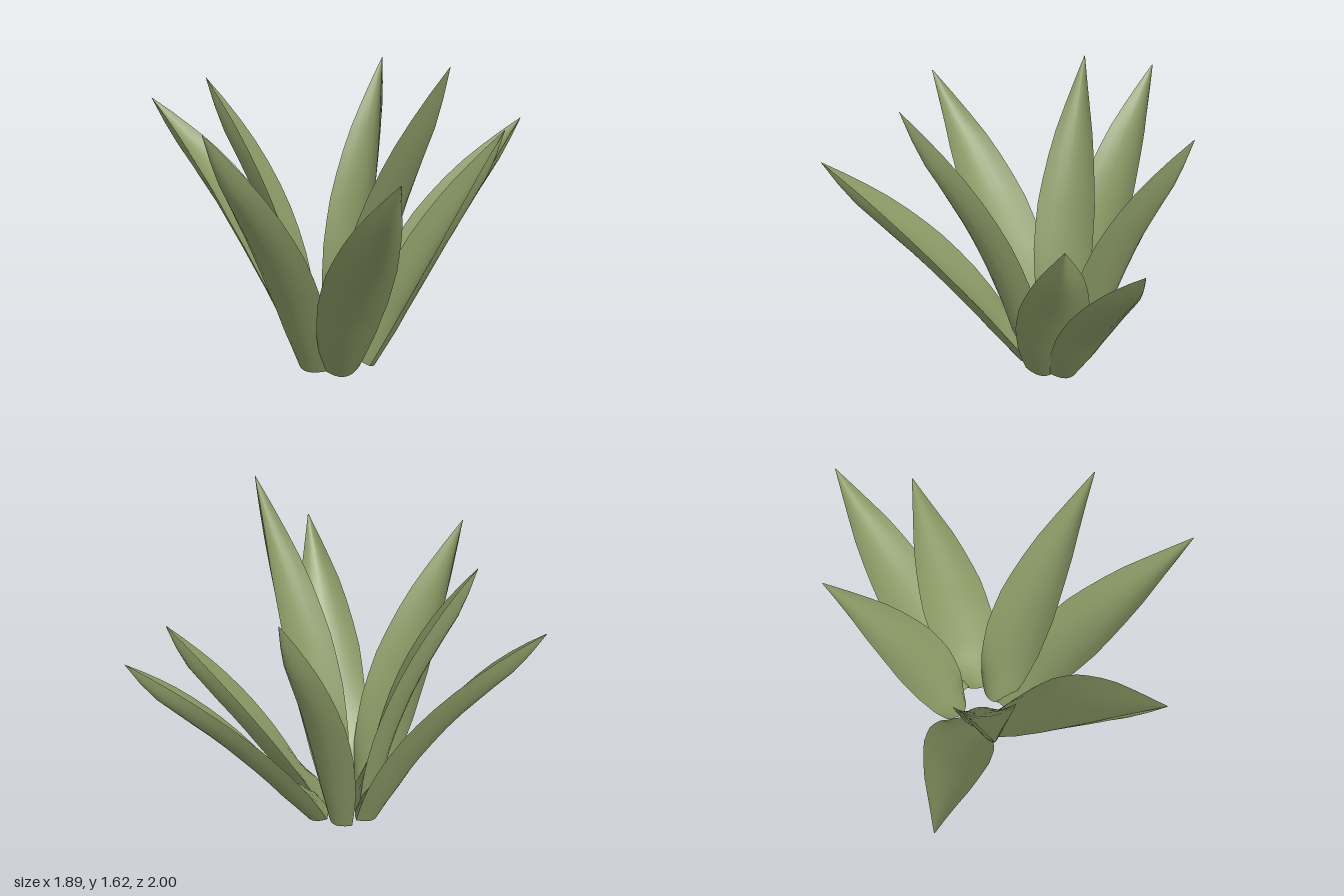
import * as THREE from 'three';
import { mergeGeometries } from 'three/addons/utils/BufferGeometryUtils.js';

const SIDES = 8;   // steps across a leaf
const ROWS = 12;   // steps along a leaf

// Profiles along a leaf, as [position, value]
const HALF_WIDTH = [[0, 0.1], [0.07, 0.13], [0.18, 0.165], [0.35, 0.19], [0.52, 0.182], [0.72, 0.13], [0.86, 0.068], [1, 0.002]];
const KEEL = [[0, 0.06], [0.15, 0.088], [0.4, 0.1], [0.7, 0.098], [0.87, 0.078], [1, 0.001]];
const INNER = [[0, -0.055], [0.08, -0.05], [0.2, 0.01], [0.4, 0.05], [0.65, 0.055], [0.87, 0.04], [1, 0]];

function sample(profile, t) {
  for (let i = 1; i < profile.length; i++) {
    const [t0, a] = profile[i - 1], [t1, b] = profile[i];
    if (t <= t1) return a + (b - a) * (t - t0) / (t1 - t0);
  }
  return profile[profile.length - 1][1];
}

// Smooth sheet through point(u, v), with u and v from 0 to 1
function sheet(point, rows) {
  const positions = [], index = [], n = SIDES + 1;
  for (let j = 0; j <= rows; j++) {
    for (let i = 0; i <= SIDES; i++) positions.push(...point(i / SIDES, j / rows).toArray());
  }
  for (let j = 0; j < rows; j++) {
    for (let i = 0; i < SIDES; i++) {
      const a = j * n + i, b = a + 1, c = b + n, d = a + n;
      index.push(a, b, d, b, c, d);
    }
  }
  const g = new THREE.BufferGeometry();
  g.setAttribute('position', new THREE.Float32BufferAttribute(positions, 3));
  g.setIndex(index);
  g.computeVertexNormals();
  return g;
}

// Curved leaf with a rounded back, a hollow face and a thick foot
function leafGeometry({ base, mid, tip, facing, width }) {
  const p0 = new THREE.Vector3(...base), p2 = new THREE.Vector3(...tip);
  const control = new THREE.Vector3(...mid).multiplyScalar(2).addScaledVector(p0, -0.5).addScaledVector(p2, -0.5);
  const spine = new THREE.QuadraticBezierCurve3(p0, control, p2);
  const across = new THREE.Vector3(facing[1], 0, -facing[0]).normalize();

  const point = (u, t, depth) => {
    const s = u * 2 - 1;
    const along = spine.getTangent(t);
    const side = across.clone().addScaledVector(along, -along.dot(across)).normalize();
    const out = side.clone().cross(along);
    return spine.getPoint(t)
      .addScaledVector(side, s * width * sample(HALF_WIDTH, t))
      .addScaledVector(out, depth * (1 - s * s));
  };
  return mergeGeometries([
    sheet((u, t) => point(u, t, sample(KEEL, t)), ROWS),
    sheet((u, t) => point(1 - u, t, sample(INNER, t)), ROWS),
    sheet((u, v) => point(u, 0, THREE.MathUtils.lerp(INNER[0][1], KEEL[0][1], v)), 1),
  ]);
}

// Foot, middle and tip of each leaf, the ground direction its back faces, and its relative width
const LEAVES = {
  frontLeaf: { base: [-0.02, 0.03, 0.22], mid: [0.03, 0.71, 0.51], tip: [0.09, 1.35, 1.0], facing: [0, 1], width: 1 },
  frontLeftLeaf: { base: [0.11, 0.03, 0.15], mid: [0.46, 0.66, 0.385], tip: [0.94, 1.21, 0.67], facing: [0.8, 0.55], width: 0.92 },
  leftLeaf: { base: [0.1, 0.03, 0.11], mid: [0.33, 0.85, 0.125], tip: [0.78, 1.62, 0.17], facing: [1, 0], width: 0.84 },
  backLeftLeaf: { base: [0.12, 0.03, 0.0], mid: [0.26, 0.61, -0.28], tip: [0.48, 1.17, -0.65], facing: [0.4, -0.75], width: 0.94 },
  backLeaf: { base: [0.04, 0.03, -0.08], mid: [0.15, 0.66, -0.5], tip: [0.32, 1.16, -1.0], facing: [0.14, -1], width: 0.92 },
  backRightLeaf: { base: [-0.09, 0.03, -0.03], mid: [-0.165, 0.78, -0.22], tip: [-0.3, 1.46, -0.6], facing: [0, -1], width: 0.82 },
  rightLeaf: { base: [-0.14, 0.03, 0.1], mid: [-0.465, 0.74, 0.23], tip: [-0.95, 1.3, 0.44], facing: [-0.97, 0.2], width: 0.92 },
  frontRightLeaf: { base: [-0.08, 0.03, 0.13], mid: [-0.2, 0.78, 0.225], tip: [-0.5, 1.46, 0.46], facing: [-0.8, 0.58], width: 0.84 },
};

export function createModel() {
  const plant = new THREE.Group();
  plant.name = 'succulentPlant';
  const green = new THREE.MeshStandardMaterial({ color: 0x8b9a66 });
  green.name = 'leafGreen';
  for (const [name, shape] of Object.entries(LEAVES)) {
    const leaf = new THREE.Mesh(leafGeometry(shape), green);
    leaf.name = name;
    plant.add(leaf);
  }
  return plant;
}
